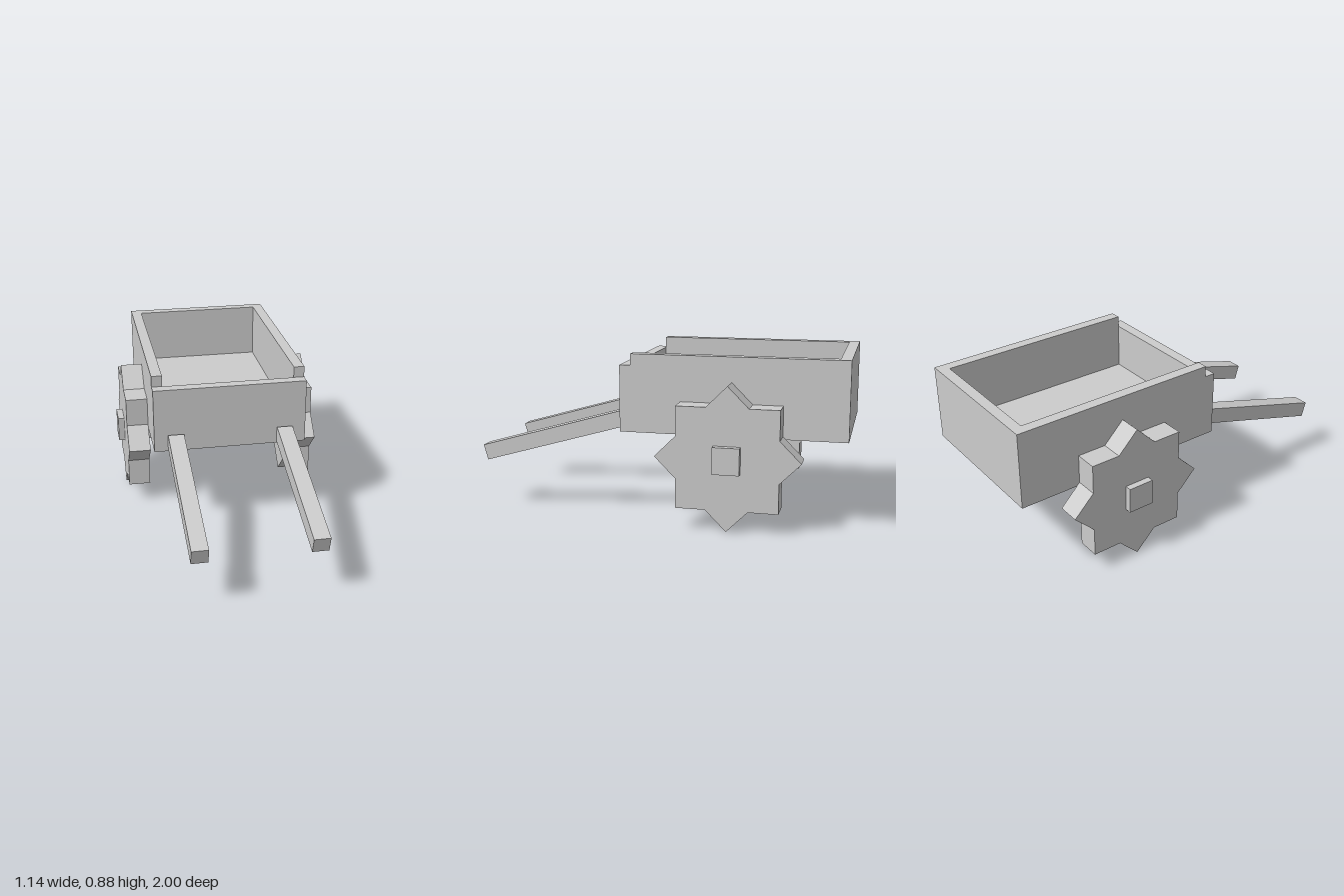
import * as THREE from 'three';

export function createModel() {
  const cart = new THREE.Group();
  cart.name = 'handCart';
  const grey = new THREE.MeshStandardMaterial({ color: 0xcccccc, flatShading: true });
  grey.name = 'plain grey';

  const add = (name, geometry, x = 0, y = 0, z = 0) => {
    const mesh = new THREE.Mesh(geometry, grey);
    mesh.name = name;
    mesh.position.set(x, y, z);
    cart.add(mesh);
    return mesh;
  };
  const extrude = (points, depth) => new THREE.ExtrudeGeometry(
    new THREE.Shape(points.map(([x, y]) => new THREE.Vector2(x, y))),
    { depth, bevelEnabled: false });

  // Tray: thick floor, U-shaped side and back walls, lower front wall
  const W = 0.415, IN = 0.357, BACK = -1, FRONT = 0.187, STEP = 0.128;
  const BOTTOM = 0.472, FLOOR = 0.58, LIP = 0.825, RIM = 0.885;
  add('trayFloor', new THREE.BoxGeometry(2 * W, FLOOR - BOTTOM, FRONT - BACK),
    0, (BOTTOM + FLOOR) / 2, (BACK + FRONT) / 2);
  const walls = extrude([
    [-W, -STEP], [-IN, -STEP], [-IN, 0.943], [IN, 0.943],
    [IN, -STEP], [W, -STEP], [W, -BACK], [-W, -BACK],
  ], RIM - FLOOR).rotateX(-Math.PI / 2);
  add('sideAndBackWalls', walls, 0, FLOOR, 0);
  add('frontWall', new THREE.BoxGeometry(2 * W, LIP - FLOOR, FRONT - STEP),
    0, (FLOOR + LIP) / 2, (STEP + FRONT) / 2);

  // Wheel outline: two equal squares crossed at 45 degrees
  const R = 0.376, H = R / Math.SQRT2, star = [];
  const notch = Math.hypot(H, R - H);
  for (let i = 0; i < 16; i++) {
    const a = i * Math.PI / 8, r = i % 2 ? notch : R;
    star.push([r * Math.cos(a), r * Math.sin(a)]);
  }
  const wheel = extrude(star, 0.12).translate(0, 0, -0.06).rotateY(Math.PI / 2);
  const hub = new THREE.BoxGeometry(0.19, 0.14, 0.14);
  const handle = new THREE.BoxGeometry(0.086, 0.086, 0.833);

  for (const [side, s] of [['left', 1], ['right', -1]]) {
    add(side + 'Wheel', wheel, s * 0.475, R + 0.003, -0.405);
    add(side + 'Hub', hub, s * 0.475, R + 0.003, -0.405);
    // Handles slope down toward the front
    add(side + 'Handle', handle, s * 0.298, 0.4135, 0.587).rotation.x = 0.28;
  }
  return cart;
}
